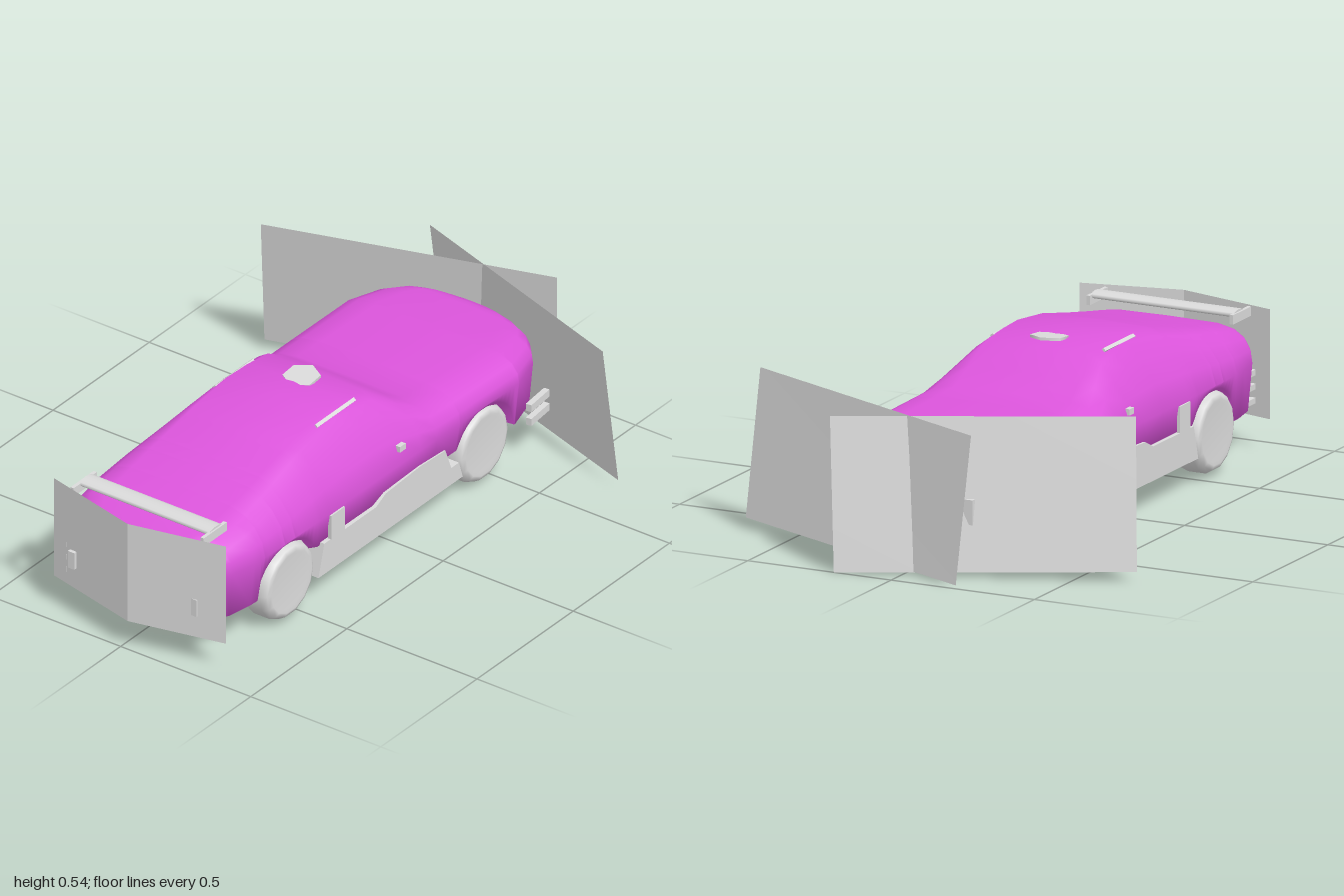
import * as THREE from 'three';

const CX = 0.008; // body centre line

// Piecewise linear lookup in [position, value] pairs
function lookup(table, z) {
  if (z <= table[0][0]) return table[0][1];
  for (let i = 1; i < table.length; i++) {
    const [z0, v0] = table[i - 1], [z1, v1] = table[i];
    if (z <= z1) return v0 + (v1 - v0) * (z - z0) / (z1 - z0);
  }
  return table[table.length - 1][1];
}
const TOP = [[-0.83, 0.35], [-0.79, 0.372], [-0.6, 0.388], [-0.3, 0.397], [-0.18, 0.402], [-0.1, 0.45], [0, 0.51],
  [0.1, 0.525], [0.2, 0.53], [0.37, 0.51], [0.55, 0.468], [0.7, 0.436], [0.86, 0.405], [0.93, 0.372]];
const HALF = [[-0.83, 0.07], [-0.81, 0.16], [-0.77, 0.26], [-0.72, 0.305], [-0.6, 0.342], [-0.3, 0.338], [0, 0.333],
  [0.6, 0.33], [0.75, 0.322], [0.84, 0.305], [0.9, 0.265], [0.93, 0.235]];
const WHEELS = [-0.445, 0.565];

// Lower edge of the body side, raised around the wheels
function lowerEdge(z) {
  let y = z > 0.6 || z < -0.5 ? 0.14 : 0.19;
  for (const w of WHEELS) {
    const d = Math.abs(z - w);
    if (d < 0.15) y = Math.max(y, 0.145 + Math.sqrt(0.15 * 0.15 - d * d) * 0.88);
  }
  return y;
}

function section(z) {
  const w = lookup(HALF, z), t = lookup(TOP, z), e = lowerEdge(z), m = 0.295;
  const k = Math.min(1, Math.max(0, (t - 0.4) / 0.13));
  const at = f => m + (t - m) * f;
  const half = [
    [w * 0.6, 0.13], [w * 0.95, e], [w, m],
    [w * (0.985 - 0.07 * k), at(0.35)], [w * (0.92 - 0.17 * k), at(0.66)],
    [w * (0.8 - 0.17 * k), at(0.87)], [w * (0.6 - 0.06 * k), at(0.98)]
  ];
  return [[0, 0.13], ...half, [0, t], ...half.slice().reverse().map(([x, y]) => [-x, y])];
}

function bodyGeometry() {
  const stops = new Set([...TOP, ...HALF].map(p => p[0]));
  for (const w of WHEELS) for (let i = -8; i <= 8; i++) stops.add(w + i * 0.0188);
  const zs = [...stops].sort((a, b) => a - b);
  const pos = [], idx = [], n = section(0).length;
  for (const z of zs) for (const [x, y] of section(z)) pos.push(x + CX, y, z);
  for (let i = 0; i < zs.length - 1; i++) for (let j = 0; j < n; j++) {
    const a = i * n + j, b = i * n + (j + 1) % n;
    idx.push(a, b, b + n, a, b + n, a + n);
  }
  // End caps
  for (const [end, flip] of [[0, true], [zs.length - 1, false]]) {
    const start = pos.length / 3;
    pos.push(CX, 0.25, zs[end]);
    for (const [x, y] of section(zs[end])) pos.push(x + CX, y, zs[end]);
    for (let j = 0; j < n; j++) {
      const a = start + 1 + j, b = start + 1 + (j + 1) % n;
      idx.push(start, flip ? b : a, flip ? a : b);
    }
  }
  const g = new THREE.BufferGeometry();
  g.setAttribute('position', new THREE.Float32BufferAttribute(pos, 3));
  g.setIndex(idx);
  g.computeVertexNormals();
  return g;
}

// Flat sheet from four corners
function sheetGeometry(corners) {
  const g = new THREE.BufferGeometry();
  g.setAttribute('position', new THREE.Float32BufferAttribute(corners.flat(), 3));
  g.setIndex([0, 1, 2, 0, 2, 3]);
  g.computeVertexNormals();
  return g;
}

export function createModel() {
  const car = new THREE.Group();
  car.name = 'car';
  const paint = new THREE.MeshStandardMaterial({ color: 0xdc55dc });
  const grey = new THREE.MeshStandardMaterial({ color: 0xdadada });
  const sheetGrey = new THREE.MeshStandardMaterial({ color: 0xdadada, side: THREE.DoubleSide });
  paint.name = 'magenta paint';
  grey.name = 'light grey';
  sheetGrey.name = 'light grey sheet';

  function add(name, geometry, material = grey, x = 0, y = 0, z = 0) {
    const mesh = new THREE.Mesh(geometry, material);
    mesh.name = name;
    mesh.position.set(x, y, z);
    car.add(mesh);
    return mesh;
  }
  const box = (name, w, h, d, x, y, z) => add(name, new THREE.BoxGeometry(w, h, d), grey, x, y, z);

  add('body', bodyGeometry(), paint);

  // Sill with an irregular upper edge, and floor
  const sill = new THREE.Shape([[0.43, 0.09], [0.4, 0.2], [0.13, 0.2], [0.08, 0.225], [-0.1, 0.235], [-0.23, 0.228],
    [-0.26, 0.15], [-0.3, 0.15], [-0.32, 0.09]].map(p => new THREE.Vector2(...p)));
  const sillGeometry = new THREE.ExtrudeGeometry(sill, { depth: 0.662, bevelEnabled: false });
  sillGeometry.translate(0, 0, -0.331).rotateY(-Math.PI / 2);
  add('sill', sillGeometry, grey, CX);
  box('frontFloor', 0.4, 0.04, 0.4, CX, 0.115, 0.6);
  box('rearFloor', 0.4, 0.04, 0.22, CX, 0.115, -0.42);

  // Wheels with rounded treads and slightly sunk hubs
  const wheelProfile = [[0, -0.05], [0.095, -0.05], [0.105, -0.056], [0.12, -0.05], [0.132, -0.03],
    [0.132, 0.03], [0.12, 0.05], [0.105, 0.056], [0.095, 0.05], [0, 0.05]].map(p => new THREE.Vector2(...p));
  const wheelGeometry = new THREE.LatheGeometry(wheelProfile, 14).rotateZ(-Math.PI / 2);
  for (const z of WHEELS) for (const s of [-1, 1])
    add('wheel', wheelGeometry, grey, CX + s * 0.272, 0.142, z);

  // Wing over the deck
  const wing = add('wing', new THREE.CylinderGeometry(0.035, 0.035, 0.5, 12), grey, CX, 0.445, 0.855);
  wing.rotation.z = Math.PI / 2;
  wing.scale.set(0.35, 1, 1);
  for (const s of [-1, 1]) {
    box('wingEnd', 0.012, 0.03, 0.12, CX + s * 0.25, 0.435, 0.865);
    // Side patches, bumper corners and roof streaks
    box('sidePatch', 0.012, 0.085, 0.07, CX + s * 0.33, 0.245, 0.335);
    for (const y of [0.14, 0.19]) {
      const corner = box('bumperCorner', 0.02, 0.025, 0.11, CX + s * 0.345, y, -0.69);
      corner.rotation.y = s * 0.1;
    }
    const streak = box('roofStreak', 0.012, 0.008, 0.2, CX + s * 0.195, 0.507, 0.16);
    streak.rotation.z = -s * 0.7;
    box('mirror', 0.03, 0.02, 0.03, CX + s * 0.315, 0.345, -0.01);
    box('plateBracket', 0.025, 0.06, 0.012, CX + s * 0.235, 0.205, 0.945);
    box('panelBracket', 0.03, 0.08, 0.03, CX + s * 0.19, 0.2, s > 0 ? -0.83 : -0.82);
  }
  for (const y of [0.15, 0.195, 0.24]) box('bumperBar', 0.54, 0.018, 0.05, CX, y, 0.905);

  // Roof badge plate
  add('roofPlate', new THREE.CylinderGeometry(0.06, 0.06, 0.009, 6), grey, CX, 0.525, 0.07).rotation.x = 0.1;

  // Front plate, folded down the middle
  for (const [x, z] of [[-0.32, 0.915], [0.35, 0.925]])
    add('frontPlate', sheetGeometry([[x, 0.1, z], [0.025, 0.1, 0.998], [0.025, 0.452, 0.998], [x, 0.452, z]]), sheetGrey);

  // Two crossing panels behind the tail
  add('rightPanel', sheetGeometry([[-0.69, 0.035, -0.68], [0.2, 0, -1], [0.25, 0.478, -0.93], [-0.645, 0.508, -0.6]]), sheetGrey);
  add('leftPanel', sheetGeometry([[-0.215, 0.005, -0.98], [0.685, 0.035, -0.66], [0.655, 0.51, -0.62], [-0.25, 0.48, -0.945]]), sheetGrey);
  return car;
}
